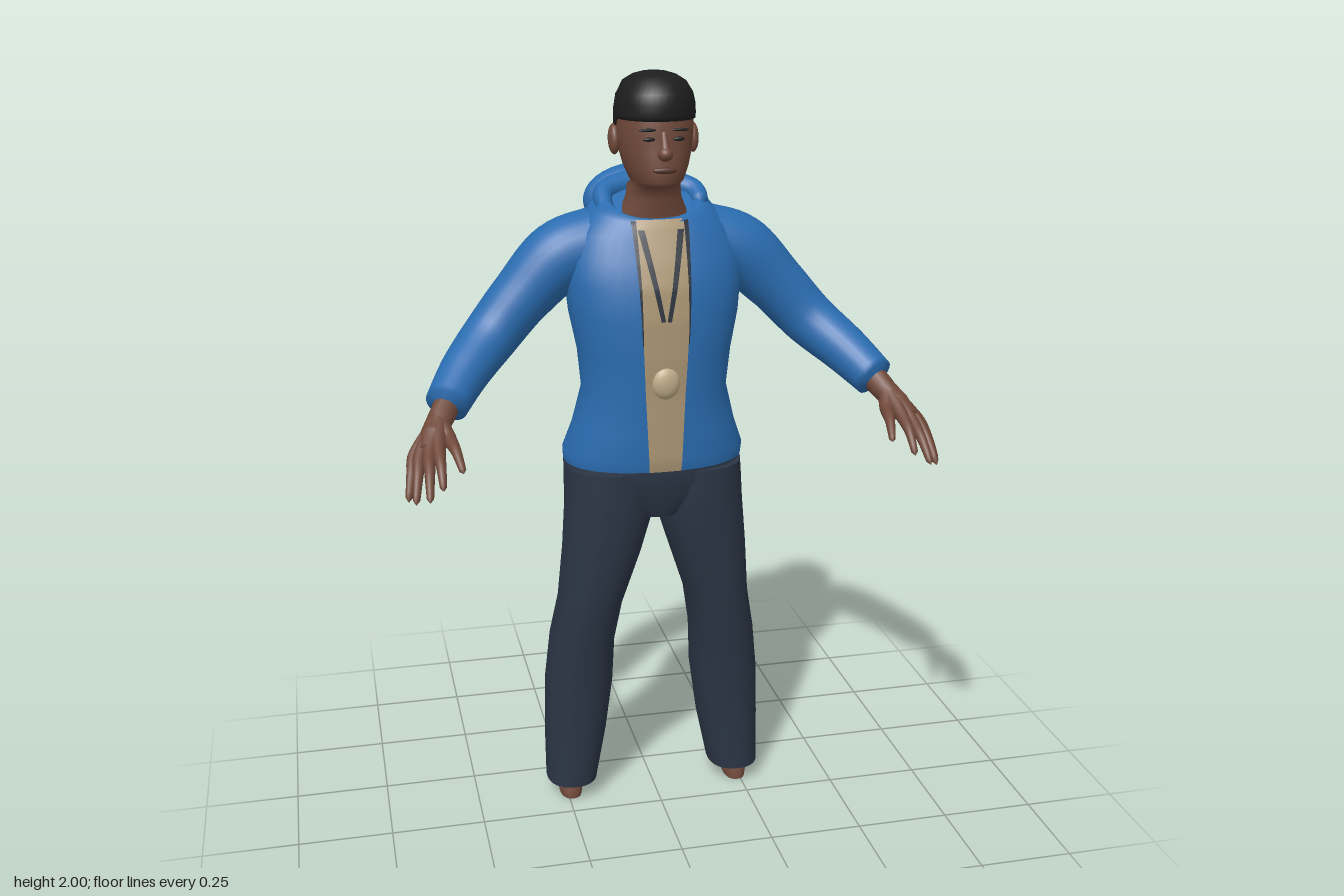
import * as THREE from 'three';
import { mergeVertices } from 'three/addons/utils/BufferGeometryUtils.js';

const mat = (name, color, side = THREE.FrontSide) => {
  const m = new THREE.MeshStandardMaterial({ color, side });
  m.name = name;
  return m;
};

// Stack of rounded rings, bottom to top: [y at front, half width, front z, back z, rise at back, centre x]
function loft(rings, n = 2.3, seg = 40, rise = nz => (1 - nz) / 2) {
  const pos = [], idx = [];
  const pw = v => Math.sign(v) * Math.abs(v) ** (2 / n);
  const point = ([y, w, zf, zb, tilt = 0, cx = 0], a) => {
    const nz = pw(Math.cos(a));
    pos.push(cx + w * pw(Math.sin(a)), y + tilt * rise(nz), (zf + zb) / 2 + nz * (zf - zb) / 2);
  };
  for (const r of rings) for (let j = 0; j < seg; j++) point(r, j / seg * Math.PI * 2);
  for (let i = 0; i < rings.length - 1; i++) for (let j = 0; j < seg; j++) {
    const k = (j + 1) % seg, a = i * seg + j, b = i * seg + k;
    idx.push(a, b, b + seg, a, b + seg, a + seg);
  }
  // end caps
  [[0, 1], [rings.length - 1, -1]].forEach(([i, s]) => {
    const [y, , zf, zb, tilt = 0, cx = 0] = rings[i], c = pos.length / 3;
    pos.push(cx, y + tilt * rise(0), (zf + zb) / 2);
    const first = c + 1;
    for (let j = 0; j < seg; j++) point(rings[i], j / seg * Math.PI * 2);
    for (let j = 0; j < seg; j++) {
      const a = first + j, b = first + (j + 1) % seg;
      s > 0 ? idx.push(c, b, a) : idx.push(c, a, b);
    }
  });
  const g = new THREE.BufferGeometry();
  g.setAttribute('position', new THREE.Float32BufferAttribute(pos, 3));
  g.setIndex(idx);
  g.computeVertexNormals();
  return g;
}

// Piecewise linear value at t in 0..1
const along = (list, t) => {
  const f = t * (list.length - 1), i = Math.min(Math.floor(f), list.length - 2);
  return list[i] + (list[i + 1] - list[i]) * (f - i);
};

// Tapered tube through points [x, y, z, radius], mirrored by s, closed at the far end
function limb(points, s = 1, seg = 24, radial = 16) {
  const curve = new THREE.CatmullRomCurve3(points.map(p => new THREE.Vector3(p[0] * s, p[1], p[2])));
  const g = new THREE.TubeGeometry(curve, seg, 1, radial);
  const radii = points.map(p => p[3]), p = g.attributes.position, v = new THREE.Vector3();
  for (let i = 0; i < p.count; i++) {
    const ring = Math.floor(i / (radial + 1)), c = curve.getPointAt(ring / seg);
    const r = ring === seg ? 0.0005 : along(radii, ring / seg);
    v.fromBufferAttribute(p, i).sub(c).multiplyScalar(r).add(c);
    p.setXYZ(i, v.x, v.y, v.z);
  }
  g.deleteAttribute('uv');
  g.deleteAttribute('normal');
  const out = mergeVertices(g, 1e-5);
  out.computeVertexNormals();
  return out;
}

const TORSO = [
  [1.0, .238, .045, -.28], [1.03, .24, .05, -.275], [1.1, .215, .05, -.255], [1.2, .19, .05, -.24],
  [1.3, .2, .055, -.235], [1.4, .22, .055, -.245], [1.48, .228, .045, -.25], [1.54, .225, .025, -.25],
  [1.6, .2, 0, -.235, .02], [1.635, .15, -.015, -.215, .07], [1.645, .115, -.025, -.2, .09], [1.63, .1, -.035, -.185, .09],
];

// Front surface of the jacket at (x, y)
function chestZ(x, y) {
  let i = 0;
  while (i < 9 && TORSO[i + 1][0] < y) i++;
  const a = TORSO[i], b = TORSO[i + 1], t = Math.min(1, (y - a[0]) / (b[0] - a[0]));
  const [w, zf, zb] = [1, 2, 3].map(k => a[k] + (b[k] - a[k]) * t);
  return (zf + zb) / 2 + (1 - Math.abs(x / w) ** 2.3) ** (1 / 2.3) * (zf - zb) / 2;
}

// Thin panel lying on the chest between two edges given as functions of height fraction
function chestPanel(y0, y1, left, right, lift) {
  const g = new THREE.PlaneGeometry(1, 1, 10, 48), p = g.attributes.position;
  for (let i = 0; i < p.count; i++) {
    const t = p.getY(i) + .5, u = p.getX(i) + .5;
    const y = y0 + (y1 - y0) * t, x = left(t) + (right(t) - left(t)) * u;
    p.setXYZ(i, x, y, chestZ(x, y) + lift);
  }
  g.computeVertexNormals();
  return g;
}

const ball = (x, y, z, rx, ry, rz, tilt = 0) =>
  new THREE.SphereGeometry(1, 28, 18).scale(rx, ry, rz).rotateX(tilt).translate(x, y, z);

export function createModel() {
  const group = new THREE.Group();
  const blue = mat('jacketBlue', 0x2a6cb0), navy = mat('trouserNavy', 0x2b3545), skin = mat('skinBrown', 0x70493a);
  const black = mat('hairBlack', 0x1d1d1d), tan = mat('shirtTan', 0xab9674, THREE.DoubleSide);
  const pale = mat('buckleTan', 0xbfab88), lip = mat('lipBrown', 0x55352c);
  const dark = mat('laceDark', 0x2a313c, THREE.DoubleSide);
  const add = (name, geometry, material) => {
    const m = new THREE.Mesh(geometry, material);
    m.name = name;
    group.add(m);
    return m;
  };

  // Jacket and hood
  add('jacket', loft(TORSO), blue);
  add('hood', ball(0, 1.66, -.235, .155, .095, .07, -.15), blue);
  add('hoodCollar', limb([[-.125, 1.665, -.09, .02], [-.115, 1.695, -.15, .03], [0, 1.71, -.195, .035],
    [.115, 1.695, -.15, .03], [.125, 1.665, -.09, .02]], 1, 32), blue);

  // Shirt front, laces and buckle
  const shirtEdge = t => .042 + .03 * t;
  add('shirtFront', chestPanel(1.001, 1.643, t => -shirtEdge(t), shirtEdge, .004), tan);
  for (const s of [-1, 1]) {
    const inner = t => s * (.002 + .04 * t), outer = t => s * (.013 + .046 * t);
    add('lace', chestPanel(1.4, 1.62, s > 0 ? inner : outer, s > 0 ? outer : inner, .007), dark);
    const e0 = t => s * (.058 + .003 * t), e1 = t => s * (.06 + .013 * t);
    add('shirtEdge', chestPanel(1.34, 1.64, s > 0 ? e0 : e1, s > 0 ? e1 : e0, .007), dark);
  }
  add('buckle', ball(0, 1.24, .052, .036, .042, .02), pale);

  // Trousers
  add('trouserSeat', loft([[.86, .07, .005, -.19], [.91, .17, .022, -.225], [.96, .232, .032, -.262],
    [1.0, .234, .035, -.268], [1.03, .2, .03, -.24]]), navy);

  for (const s of [-1, 1]) {
    const side = s > 0 ? 'left' : 'right';
    const legRings = [
      [.05, .07, -.04, -.21, 0, .235], [.2, .085, -.04, -.225, 0, .22], [.35, .0925, -.03, -.235, 0, .2075],
      [.48, .0875, -.015, -.235, 0, .1975], [.6, .086, .005, -.22, 0, .176], [.75, .105, .02, -.205, 0, .145],
      [.88, .12, .027, -.225, 0, .12], [.94, .12, .03, -.25, 0, .118], [.99, .118, .03, -.27, 0, .118],
    ];
    add(side + 'TrouserLeg', loft(legRings.map(r => [...r.slice(0, 5), r[5] * s])), navy);
    add(side + 'Foot', loft([[0, .03, -.065, -.17, 0, .24 * s], [.02, .034, -.066, -.175, 0, .24 * s],
      [.08, .03, -.085, -.17, 0, .236 * s]]), skin);

    // Sleeve
    add(side + 'Sleeve', limb([[.13, 1.565, -.14, .098], [.23, 1.54, -.135, .09], [.33, 1.45, -.125, .077],
      [.42, 1.352, -.1, .071], [.5, 1.28, -.02, .063], [.562, 1.215, .072, .053]], s, 40, 24), blue);

    // Hand: each finger runs from the wrist over its knuckle to the tip
    const fingers = {
      Little: [[.643, 1.13, .15], [.668, 1.04, .232]], Ring: [[.63, 1.137, .17], [.653, 1.045, .27]],
      Middle: [[.61, 1.143, .185], [.622, 1.06, .305]], Index: [[.588, 1.15, .188], [.588, 1.08, .285]],
      Thumb: [[.56, 1.165, .145], [.537, 1.11, .255]],
    };
    for (const [name, [k, t]] of Object.entries(fingers)) {
      const mid = k.map((v, i) => (v + t[i]) / 2 + (i === 1 ? .012 : 0));
      add(side + name + 'Finger', limb([[.555, 1.22, .06, .034], [.577, 1.19, .1, .028], [...k, .018], [...mid, .0125], [...t, .008]], s, 24, 10), skin);
    }
    add(side + 'Palm', limb([[.572, 1.2, .08, .03], [.595, 1.165, .13, .034], [.615, 1.14, .178, .022]], s), skin);

    // Ear, eye and brow
    add(side + 'Ear', ball(s * .1, 1.835, -.09, .015, .038, .024, -.2), skin);
    add(side + 'Eye', ball(s * .037, 1.846, .029, .015, .005, .005), black);
    add(side + 'Brow', ball(s * .04, 1.868, .028, .022, .004, .005), black);
  }

  // Head and neck
  add('head', loft([
    [1.58, .09, -.03, -.18], [1.63, .098, -.03, -.18], [1.66, .083, -.022, -.172], [1.69, .07, -.018, -.165], [1.722, .066, -.01, -.165],
    [1.73, .058, .03, -.168], [1.742, .066, .043, -.172], [1.775, .08, .042, -.18], [1.81, .089, .037, -.188],
    [1.85, .095, .032, -.192], [1.89, .095, .032, -.19], [1.93, .088, .02, -.18], [1.965, .06, -.02, -.14],
  ], 2.15), skin);
  add('nose', ball(0, 1.812, .042, .019, .018, .022), skin);
  add('noseBridge', limb([[0, 1.86, .026, .008], [0, 1.835, .039, .01], [0, 1.81, .05, .013]]), skin);
  add('mouth', ball(0, 1.772, .041, .03, .008, .007), lip);

  // Hair cap, dropping behind the ears
  const drop = nz => -THREE.MathUtils.smoothstep(-nz, -.15, .55);
  add('hair', loft([
    [1.888, .093, .028, -.185, .085], [1.888, .1, .037, -.198, .085], [1.9, .101, .04, -.203, .07], [1.925, .1, .04, -.206, .04],
    [1.95, .094, .034, -.2, .015], [1.975, .078, .014, -.175], [1.99, .054, -.015, -.145], [1.997, .03, -.04, -.115], [2.0, .008, -.07, -.085],
  ], 2.1, 40, drop), black);
  return group;
}
